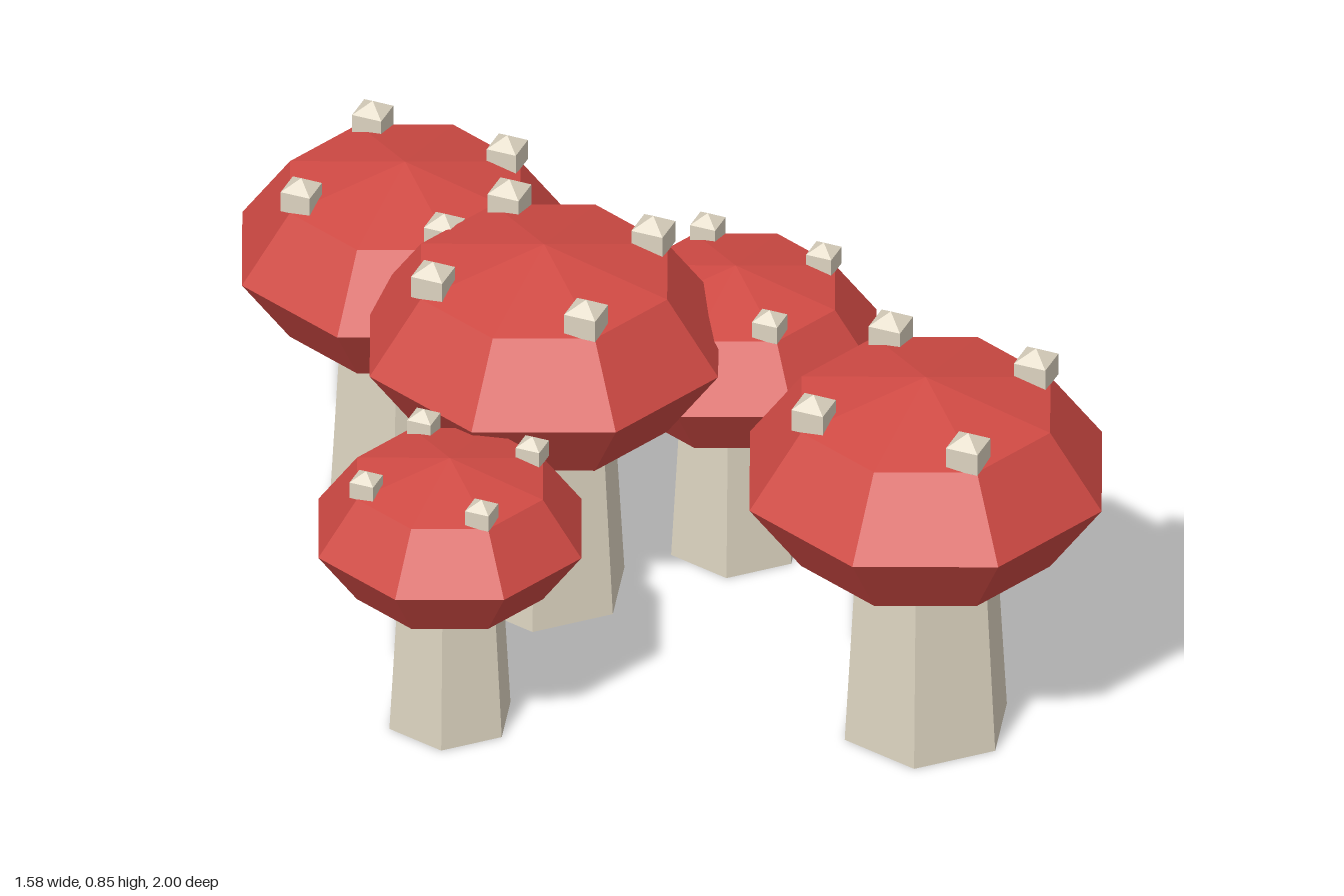
import * as THREE from 'three';

// Every mushroom is one unit shape (cap radius 1), scaled and placed: [x, z, cap radius]
const MUSHROOMS = [
  [0.397, 0.608, 0.391],
  [-0.246, -0.638, 0.362],
  [-0.132, -0.165, 0.387],
  [0.296, -0.172, 0.312],
  [-0.497, 0.215, 0.292],
];
// Spot positions on the unit cap: [x, z]
const SPOTS = [[0.06, -0.63], [-0.62, -0.04], [0.63, -0.01], [-0.01, 0.61]];

const CAP_Y = 1.565;      // height of the cap's widest ring
const CAP_HALF = 0.59;    // half the cap's thickness

// Faceted copy, so each flat face keeps its own normal
function faceted(geometry) {
  const g = geometry.toNonIndexed();
  g.computeVertexNormals();
  return g;
}

export function createModel() {
  const group = new THREE.Group();
  group.name = 'mushroomCluster';

  const red = new THREE.MeshStandardMaterial({ color: 0xd04a44 });
  red.name = 'cap red';
  const cream = new THREE.MeshStandardMaterial({ color: 0xdcd3c0 });
  cream.name = 'stem cream';

  // Tapered six-sided stem with corners on the x axis
  const stemGeo = faceted(new THREE.CylinderGeometry(0.37, 0.46, CAP_Y, 6)
    .rotateY(Math.PI / 6).translate(0, CAP_Y / 2, 0));
  // Flattened eight-sided cap
  const capGeo = faceted(new THREE.SphereGeometry(1, 8, 4)
    .scale(1, CAP_HALF, 1).translate(0, CAP_Y, 0));
  // Small four-sided spot
  const spotGeo = faceted(new THREE.SphereGeometry(1, 4, 3).scale(0.146, 0.128, 0.146));

  const add = (parent, name, geometry, material) => {
    const mesh = new THREE.Mesh(geometry, material);
    mesh.name = name;
    parent.add(mesh);
    return mesh;
  };

  MUSHROOMS.forEach(([x, z, radius], i) => {
    const mushroom = new THREE.Group();
    mushroom.name = `mushroom${i + 1}`;
    mushroom.position.set(x, 0, z);
    mushroom.scale.setScalar(radius);
    add(mushroom, 'stem', stemGeo, cream);
    add(mushroom, 'cap', capGeo, red);
    SPOTS.forEach(([sx, sz], k) => {
      add(mushroom, `spot${k + 1}`, spotGeo, cream).position.set(sx, 2.045, sz);
    });
    group.add(mushroom);
  });

  return group;
}
